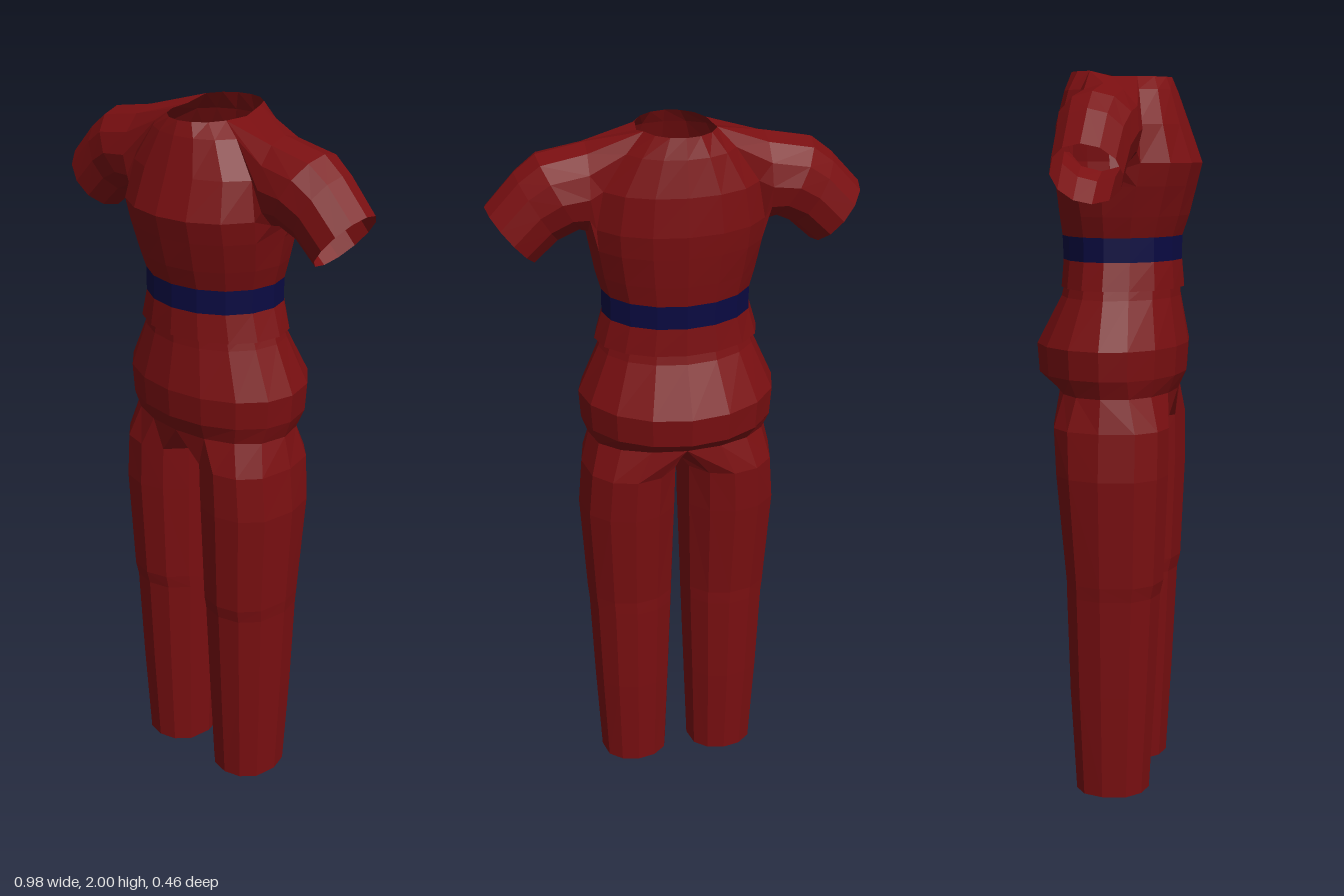
import * as THREE from 'three';

const V = (x, y, z) => new THREE.Vector3(x, y, z);
const N = 16;

// Body cross-section: half width w, front and back depth; starts at front centre, turns to +x
function bodyRing([y, w, front, back], e = 1) {
  return Array.from({ length: N }, (_, i) => {
    const a = (i / N) * Math.PI * 2, c = Math.cos(a);
    const z = Math.abs(c) < 1e-6 ? 0 : Math.pow(Math.abs(c), e) * (c > 0 ? front : -back);
    return V(w * Math.sin(a), y, z);
  });
}

// Skin between successive rings of equal point count
function loft(rings, closed = true) {
  const n = rings[0].length, pos = [], index = [];
  rings.forEach(r => r.forEach(p => pos.push(p.x, p.y, p.z)));
  for (let j = 0; j < rings.length - 1; j++) {
    for (let i = 0; i < (closed ? n : n - 1); i++) {
      const k = (i + 1) % n, a = j * n + i, b = j * n + k;
      index.push(a, b, b + n, a, b + n, a + n);
    }
  }
  const g = new THREE.BufferGeometry();
  g.setAttribute('position', new THREE.Float32BufferAttribute(pos, 3));
  g.setIndex(index);
  g.computeVertexNormals();
  return g;
}

export function createModel() {
  const model = new THREE.Group();
  const red = new THREE.MeshStandardMaterial({ color: 0x7a0f11, side: THREE.DoubleSide, flatShading: true });
  red.name = 'dark red cloth';
  const navy = new THREE.MeshStandardMaterial({ color: 0x0a0a42, side: THREE.DoubleSide, flatShading: true });
  navy.name = 'navy belt';

  const add = (name, geo, mat = red, mirrored = false) => {
    const m = new THREE.Mesh(geo, mat);
    m.name = name;
    if (mirrored) m.scale.x = -1;
    model.add(m);
  };
  const pair = (name, geo) => {
    add('left' + name, geo);
    add('right' + name, geo, red, true);
  };

  // Shirt: hem, belt, and waist up to the armpits
  const hem = bodyRing([1.425, 0.222, 0.182, 0.157]);
  const beltLow = bodyRing([1.50, 0.2, 0.176, 0.152]);
  const beltHigh = bodyRing([1.565, 0.2, 0.176, 0.155]);
  const armpit = bodyRing([1.70, 0.23, 0.215, 0.17], 0.9);
  add('shirtHem', loft([hem, beltLow]));
  add('belt', loft([beltLow, beltHigh]), navy);
  add('shirtWaist', loft([beltHigh, bodyRing([1.62, 0.215, 0.195, 0.162]), armpit]));

  // Chest and back panels, leaving armholes at the sides
  const neck = bodyRing([1.985, 0.1, 0.145, 0.132], 0.8);
  neck.forEach(p => { p.y = p.z < -0.04 ? 2.0 : 1.985; });
  const upper = [
    armpit,
    bodyRing([1.76, 0.235, 0.23, 0.175], 0.85),
    bodyRing([1.86, 0.215, 0.192, 0.168], 0.75),
    bodyRing([1.95, 0.15, 0.16, 0.148], 0.7),
    neck,
  ];
  const frontIds = [13, 14, 15, 0, 1, 2, 3], backIds = [5, 6, 7, 8, 9, 10, 11];
  add('chestPanel', loft(upper.map(r => frontIds.map(i => r[i])), false));
  add('backPanel', loft(upper.map(r => backIds.map(i => r[i])), false));

  // Sleeves: from the open cuff to the armhole edge
  const sleeveRing = ([tx, ty, bx, by, depth]) => Array.from({ length: 12 }, (_, i) => {
    const a = (i / 12) * Math.PI * 2, t = (1 - Math.cos(a)) / 2;
    return V(bx + (tx - bx) * t, by + (ty - by) * t, 0.007 + depth * Math.sin(a));
  });
  const armhole = [armpit[4], ...upper.map(r => r[3]), neck[4], ...upper.map(r => r[5]).reverse()];
  const sleeve = [
    [0.488, 1.81, 0.365, 1.66, 0.094],
    [0.41, 1.895, 0.305, 1.715, 0.098],
    [0.355, 1.938, 0.25, 1.74, 0.108],
    [0.23, 1.962, 0.235, 1.73, 0.103],
  ].map(sleeveRing);
  pair('Sleeve', loft([...sleeve, armhole]));

  // Trousers: hips from the crotch line up under the shirt
  const hipBase = bodyRing([1.14, 0.247, 0.167, 0.16], 0.85);
  add('hips', loft([
    hipBase,
    bodyRing([1.19, 0.265, 0.19, 0.222]),
    bodyRing([1.27, 0.27, 0.195, 0.228]),
    bodyRing([1.40, 0.212, 0.172, 0.158]),
    bodyRing([1.45, 0.195, 0.168, 0.146]),
  ]));

  // Legs: open tubes that meet the hips and share a crotch seam
  const legRing = ([y, inner, outer, front, back]) => Array.from({ length: 12 }, (_, i) => {
    const a = ((i - 1) / 12) * Math.PI * 2, c = Math.cos(a), mid = (inner + outer) / 2;
    const z = Math.pow(Math.abs(c), 0.8) * (c > 0 ? front : -back);
    return V(mid + ((outer - inner) / 2) * Math.sin(a), y, z);
  });
  const legTop = [...hipBase.slice(0, 9), V(0, 1.075, -0.08), V(0, 1.06, 0), V(0, 1.075, 0.08)];
  const leg = [
    [0, 0.035, 0.236, 0.115, 0.095],
    [0.3, 0.024, 0.25, 0.132, 0.112],
    [0.58, 0.014, 0.26, 0.145, 0.12],
    [0.62, 0.013, 0.264, 0.154, 0.12],
    [0.92, 0.003, 0.28, 0.166, 0.148],
    [1.05, 0.001, 0.269, 0.166, 0.157],
  ].map(legRing);
  pair('Leg', loft([...leg, legTop]));

  return model;
}
